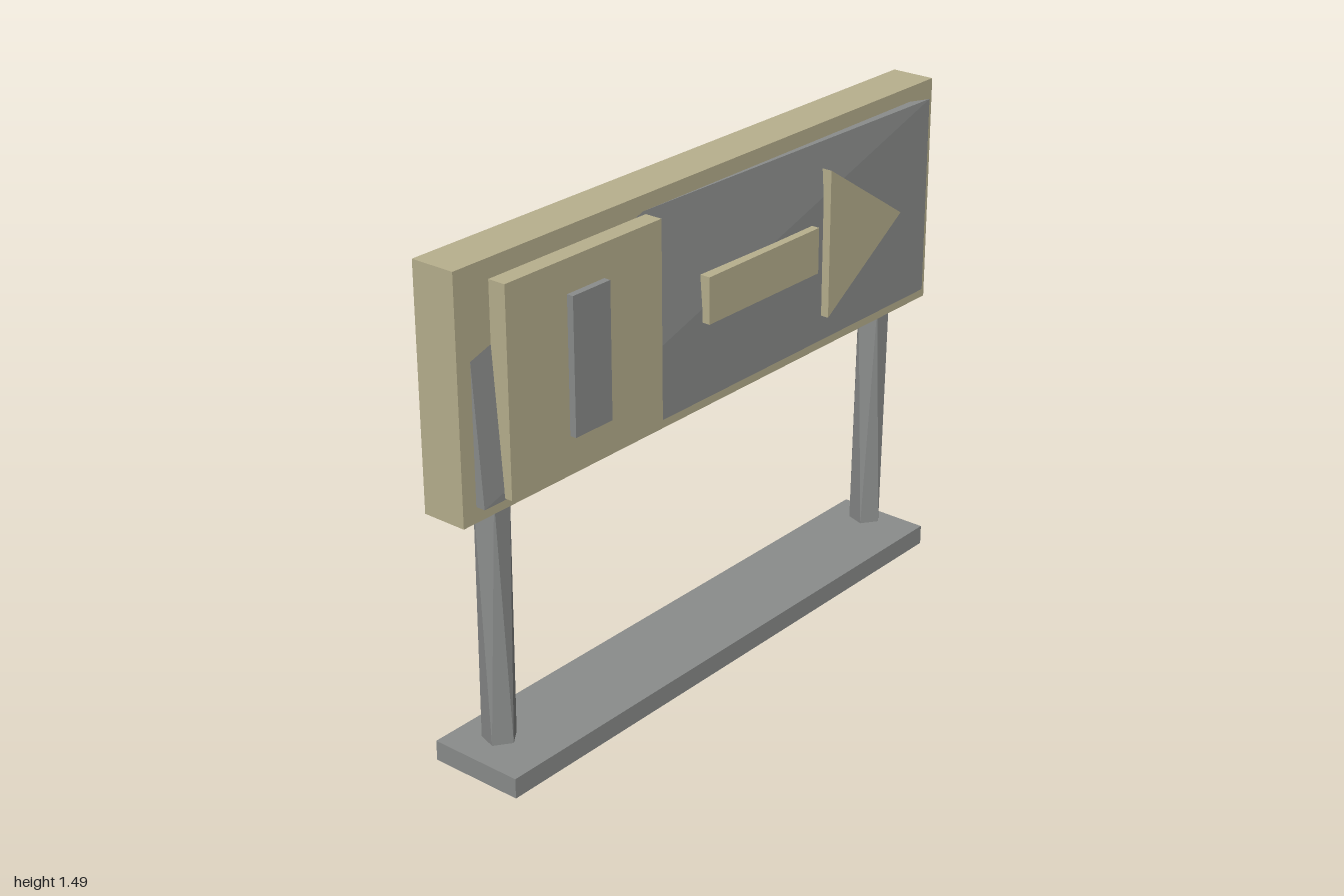
import * as THREE from 'three';

export function createModel() {
  const model = new THREE.Group();
  const tan = new THREE.MeshStandardMaterial({ color: 0xb8b08e, flatShading: true });
  tan.name = 'tan';
  const grey = new THREE.MeshStandardMaterial({ color: 0x8b8d8c, flatShading: true, side: THREE.DoubleSide });
  grey.name = 'grey';

  const add = (name, geometry, material) => {
    const mesh = new THREE.Mesh(geometry, material);
    mesh.name = name;
    model.add(mesh);
    return mesh;
  };
  // box given by its limits on each axis
  const block = (x0, x1, y0, y1, z0, z1) =>
    new THREE.BoxGeometry(x1 - x0, y1 - y0, z1 - z0)
      .translate((x0 + x1) / 2, (y0 + y1) / 2, (z0 + z1) / 2);

  // base: shallow tray, open underneath
  const base = block(-0.93, 0.925, 0, 0.06, -0.146, 0.146);
  const faces = Array.from(base.index.array);
  faces.splice(18, 6);
  base.setIndex(faces);
  base.clearGroups();
  add('base', base, grey);

  // legs: five-sided posts whose top is twisted by half a side
  const legBottom = 0.085, legTop = 0.82;
  for (const [name, x] of [['rightLeg', -0.833], ['leftLeg', 0.827]]) {
    const leg = new THREE.CylinderGeometry(0.05, 0.05, legTop - legBottom, 5);
    const p = leg.attributes.position;
    const v = new THREE.Vector3();
    const up = new THREE.Vector3(0, 1, 0);
    for (let i = 0; i < p.count; i++) {
      v.fromBufferAttribute(p, i);
      if (v.y > 0) v.applyAxisAngle(up, -Math.PI / 5);
      p.setXYZ(i, v.x, v.y, v.z);
    }
    leg.computeVertexNormals();
    add(name, leg, grey).position.set(x, (legBottom + legTop) / 2, 0);
  }

  // board
  add('board', block(-1, 1, 0.8, 1.49, -0.068, 0.068), tan);

  // face panel: its upper corner at -x sinks into the board
  const panel = block(-0.953, 0.947, 0.845, 1.445, 0.048, 0.097);
  const p = panel.attributes.position;
  for (let i = 0; i < p.count; i++) {
    const x = p.getX(i), top = p.getY(i) > 1.2, front = p.getZ(i) > 0.07;
    if (top && front && x < 0) p.setZ(i, 0.053);
    if (top && !front) {
      if (x > 0) p.setX(i, x - 0.1);
      else p.setZ(i, 0.02);
    }
  }
  // turn the diagonal of the +x side
  [0, 2, 3, 0, 3, 1].forEach((n, i) => panel.index.setX(i, n));
  panel.computeVertexNormals();
  add('facePanel', panel, grey);

  // raised plate with its upright bar
  add('squarePlate', block(-0.88, -0.296, 0.85, 1.435, 0.05, 0.122), tan);
  add('uprightBar', block(-0.66, -0.52, 0.95, 1.34, 0.1, 0.142), grey);

  // arrow
  add('arrowShaft', block(-0.1, 0.385, 1.075, 1.212, 0.06, 0.122), tan);
  const head = new THREE.Shape([
    new THREE.Vector2(0.437, 0.922),
    new THREE.Vector2(0.783, 1.145),
    new THREE.Vector2(0.437, 1.367),
  ]);
  const headGeometry = new THREE.ExtrudeGeometry(head, { depth: 0.062, bevelEnabled: false });
  add('arrowHead', headGeometry.translate(0, 0, 0.06), tan);

  return model;
}
